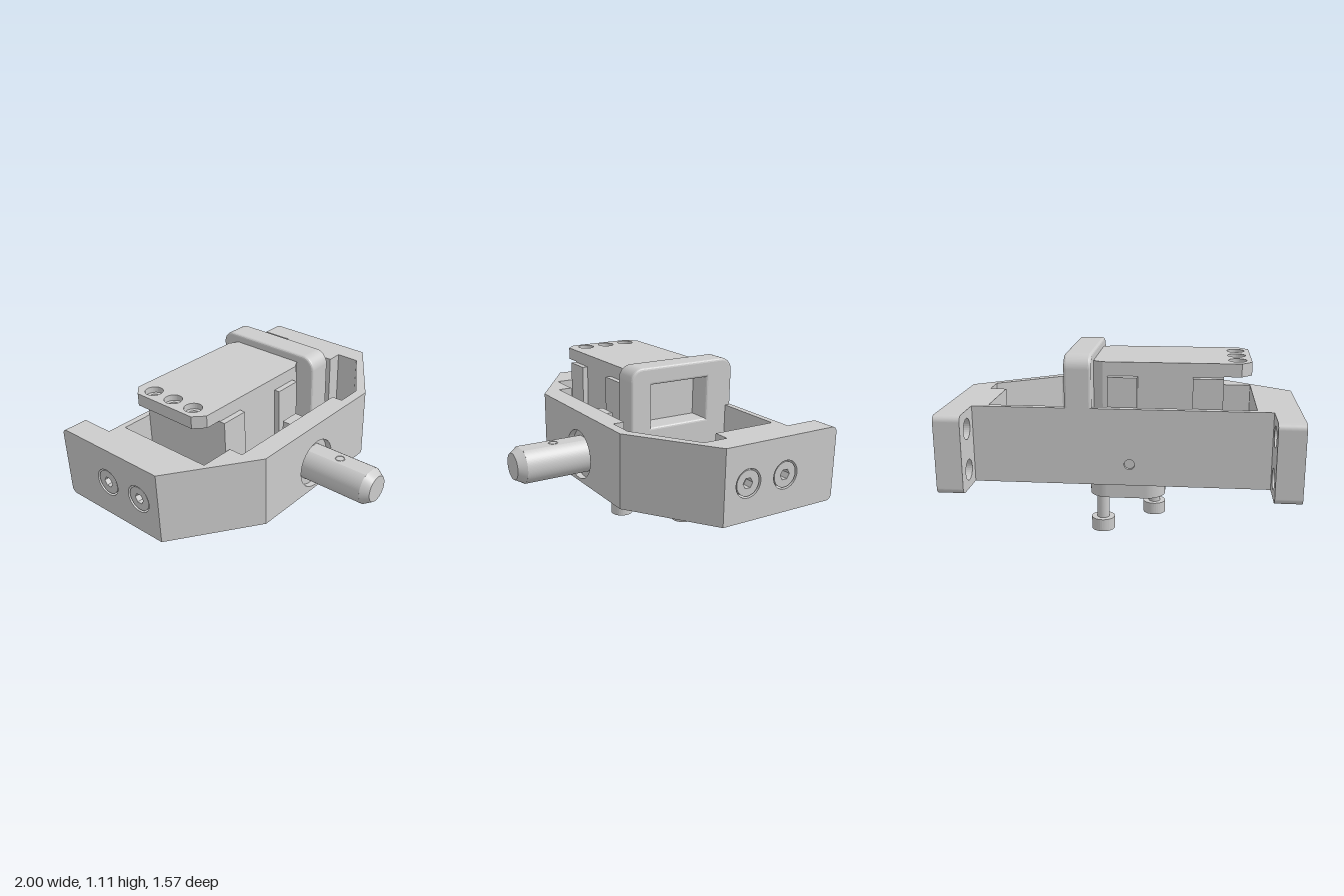
import * as THREE from 'three';

const mat = new THREE.MeshStandardMaterial({ color: 0xcccccc });

const circle = (x, y, r) => new THREE.Path().absarc(x, y, r, 0, Math.PI * 2, true);
const poly = (pts, K = THREE.Shape) => new K(pts.map(([x, y]) => new THREE.Vector2(x, y)));
const hexagon = (x, y, r) => poly([0, 1, 2, 3, 4, 5].map(i =>
  [x + r * Math.cos(-i * Math.PI / 3), y + r * Math.sin(-i * Math.PI / 3)]), THREE.Path);

// Rectangle with one radius per corner, counter-clockwise from lower left
function roundRect(x0, y0, x1, y1, [a, b, c, d]) {
  const s = new THREE.Shape();
  s.moveTo(x0 + a, y0).lineTo(x1 - b, y0);
  if (b) s.absarc(x1 - b, y0 + b, b, -Math.PI / 2, 0);
  s.lineTo(x1, y1 - c);
  if (c) s.absarc(x1 - c, y1 - c, c, 0, Math.PI / 2);
  s.lineTo(x0 + d, y1);
  if (d) s.absarc(x0 + d, y1 - d, d, Math.PI / 2, Math.PI);
  s.lineTo(x0, y0 + a);
  if (a) s.absarc(x0 + a, y0 + a, a, Math.PI, Math.PI * 1.5);
  return s;
}

export function createModel() {
  const model = new THREE.Group();
  const add = (name, geo, parent = model) => {
    const m = new THREE.Mesh(geo, mat);
    m.name = name;
    parent.add(m);
    return m;
  };
  // Extrude from a to b along one axis; shape coordinates are (x,-z), (-z,y) or (x,y)
  function extrude(shape, axis, a, b, holes = [], bevel = 0) {
    shape.holes.push(...holes);
    const g = new THREE.ExtrudeGeometry(shape, {
      depth: b - a - 2 * bevel, curveSegments: 16, bevelEnabled: bevel > 0,
      bevelSize: bevel, bevelThickness: bevel, bevelOffset: -bevel, bevelSegments: 3,
    });
    g.translate(0, 0, a + bevel);
    if (axis === 'y') g.rotateX(-Math.PI / 2);
    if (axis === 'x') g.rotateY(Math.PI / 2);
    return g;
  }
  const flip = pts => pts.map(([x, z]) => [x, -z]);
  const box = (x0, x1, y0, y1, z0, z1) => new THREE.BoxGeometry(x1 - x0, y1 - y0, z1 - z0)
    .translate((x0 + x1) / 2, (y0 + y1) / 2, (z0 + z1) / 2);

  const Y0 = 0.355, Y1 = 0.805, FLOOR = 0.42;
  const cx = -0.02, cz = -0.19, shaftX = -0.015, shaftY = 0.53;

  // Housing: floor and pocketed walls, with shallow seats for the drilled panels
  const half = [[0.5, 0.31], [0.5, 0.35], [1, 0], [0.94, 0], [0.94, -0.55], [0.5, -0.55], [0.5, -0.53]];
  const outline = flip([...half, ...half.map(([x, z]) => [-x, z]).reverse()]);
  const pocket = flip([[-0.76, -0.51], [0.76, -0.51], [0.76, -0.11], [0.86, -0.11], [0.86, 0.04],
    [0.48, 0.29], [0.32, 0.29], [0.32, 0.22], [-0.55, 0.22], [-0.55, 0.13], [-0.76, 0.13]]);
  add('housingWalls', extrude(poly(outline), 'y', FLOOR, Y1, [poly(pocket, THREE.Path)]));
  const floorHoles = [circle(cx, -cz, 0.27), circle(-0.65, 0.35, 0.035), circle(-0.65, 0.04, 0.035)];
  for (const x of [-0.44, 0.38]) for (const z of [-0.4, 0])
    floorHoles.push(poly([[x - 0.03, -z - 0.015], [x - 0.03, -z + 0.015],
      [x + 0.03, -z + 0.015], [x + 0.03, -z - 0.015]], THREE.Path));
  add('housingFloor', extrude(poly(outline), 'y', Y0, FLOOR, floorHoles));
  const panel = () => roundRect(-0.5, Y0, 0.5, Y1, [0, 0, 0, 0]);
  add('frontPanel', extrude(panel(), 'z', 0.31, 0.35, [circle(shaftX, shaftY, 0.155)]));
  add('backPanel', extrude(panel(), 'z', -0.55, -0.53, [circle(-0.05, 0.48, 0.03)]));

  // Side cheeks with rear arms, recessed screws and blind mounting holes
  for (const side of [1, -1]) {
    const cheek = new THREE.Group();
    cheek.name = side > 0 ? 'leftCheek' : 'rightCheek';
    cheek.scale.x = side;
    model.add(cheek);
    const r = 0.035, zs = [0.16, 0.42], ys = [0.46, 0.7];
    add('cheekPlate', extrude(roundRect(0, Y0, 0.785, Y1, [0, r, r, 0]), 'x', 0.94, 1,
      zs.map(z => circle(z, 0.58, 0.085))), cheek);
    add('rearArm', extrude(roundRect(0.55, Y0, 0.785, Y1, [0, r, r, 0]), 'x', 0.85, 0.94,
      ys.map(y => circle(0.66, y, 0.06))), cheek);
    for (const z of zs)
      add('sideScrew', extrude(new THREE.Shape().absarc(z, 0.58, 0.076, 0, Math.PI * 2), 'x', 0.94, 0.995,
        [hexagon(z, 0.58, 0.033)]), cheek);
    for (const y of ys)
      add('armHoleStep', extrude(new THREE.Shape().absarc(0.66, y, 0.06, 0, Math.PI * 2), 'x', 0.91, 0.94,
        [circle(0.66, y, 0.035)]), cheek);
  }

  // Front shaft: round with flats above and below, chamfered tip
  const a = Math.asin(0.103 / 0.115);
  const shaft = new THREE.Shape();
  shaft.absarc(shaftX, shaftY, 0.115, -a, a);
  shaft.absarc(shaftX, shaftY, 0.115, Math.PI - a, Math.PI + a);
  add('shaft', extrude(shaft, 'z', 0.3, 0.735));
  const tip = new THREE.CylinderGeometry(0.082, 0.115, 0.05, 32).rotateX(Math.PI / 2);
  const tp = tip.attributes.position;
  for (let i = 0; i < tp.count; i++) tp.setY(i, THREE.MathUtils.clamp(tp.getY(i), -0.103, 0.103));
  tip.computeVertexNormals();
  add('shaftTip', tip).position.set(shaftX, shaftY, 0.76);
  add('shaftDimple', new THREE.TorusGeometry(0.027, 0.004, 6, 20).rotateX(Math.PI / 2))
    .position.set(shaftX, shaftY + 0.102, 0.52);

  // Actuator: case, overhanging lid with screw holes, side pads
  const caseTop = 0.98;
  add('actuatorCase', extrude(poly(flip([[-0.57, 0.08], [0.11, 0.08], [0.18, 0.04], [0.18, -0.42],
    [0.11, -0.46], [-0.57, -0.46]])), 'y', FLOOR, caseTop));
  const lidZ = [-0.35, -0.195, -0.04];
  add('actuatorLid', extrude(poly(flip([[-0.73, 0.02], [-0.67, 0.08], [0.11, 0.08], [0.18, 0.04],
    [0.18, -0.42], [0.11, -0.46], [-0.67, -0.46], [-0.73, -0.4]])), 'y', caseTop, 1.055,
  lidZ.map(z => circle(-0.65, -z, 0.052))));
  for (const z of lidZ)
    add('lidHoleSeat', extrude(new THREE.Shape().absarc(-0.65, -z, 0.052, 0, Math.PI * 2), 'y', caseTop, 1.02,
      [circle(-0.65, -z, 0.03)]));
  for (const x of [-0.57, -0.09]) {
    add('frontPad', box(x, x + 0.17, 0.55, 0.975, 0.07, 0.115));
    add('backPad', box(x, x + 0.17, 0.55, 0.975, -0.505, -0.45));
  }
  add('connectorBlock', box(-0.085, 0.04, FLOOR, 0.78, 0.14, 0.22));

  // Upright end bracket with a window
  add('endBracket', extrude(roundRect(-0.17, FLOOR, 0.55, 1.105, [0, 0, 0.08, 0.08]), 'x', 0.165, 0.32,
    [poly([[-0.03, 0.74], [-0.03, 1], [0.36, 1], [0.36, 0.74]], THREE.Path)], 0.015));

  // Output hub under the floor: disc, flange with bolt holes, two cap bolts
  const disc = (r, y0, y1) => new THREE.CylinderGeometry(r, r, y1 - y0, 40).translate(cx, (y0 + y1) / 2, cz);
  add('hubPlug', disc(0.24, 0.385, 0.45));
  add('hubDisc', disc(0.2, 0.32, 0.39));
  const d = 0.1475, h = 0.225, f = 0.11;
  const boltHoles = [[-d, -d], [d, d]].map(([x, z]) => circle(cx + x, -cz - z, 0.045));
  add('hubFlange', extrude(roundRect(cx - h, -cz - h, cx + h, -cz + h, [f, f, f, f]), 'y', 0.225, 0.33, boltHoles));
  for (const s of [-1, 1]) {
    const bolt = new THREE.Group();
    bolt.name = 'hubBolt';
    bolt.position.set(cx + s * d, 0, cz - s * d);
    model.add(bolt);
    add('boltShank', new THREE.CylinderGeometry(0.037, 0.037, 0.26, 24).translate(0, 0.2, 0), bolt);
    add('boltHead', extrude(new THREE.Shape().absarc(0, 0, 0.07, 0, Math.PI * 2), 'y', 0, 0.075,
      [hexagon(0, 0, 0.036)]), bolt);
  }
  return model;
}
